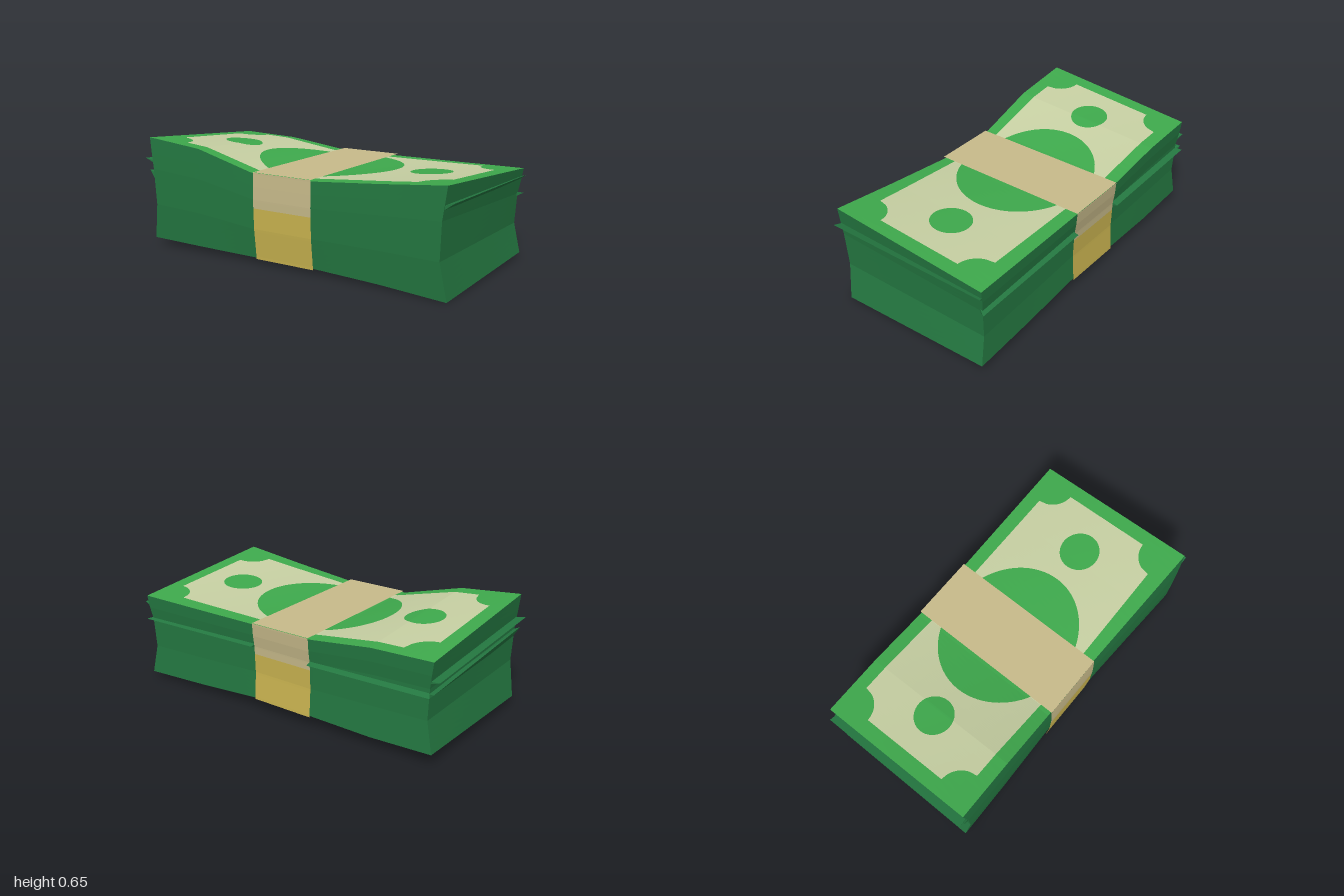
import * as THREE from 'three';
import { ConvexGeometry } from 'three/addons/geometries/ConvexGeometry.js';

const mat = (name, color) => Object.assign(new THREE.MeshStandardMaterial({ color }), { name });

// Linear interpolation through a small table
function table(xs, ys, x) {
  if (x <= xs[0]) return ys[0];
  for (let i = 1; i < xs.length; i++) {
    if (x <= xs[i]) return ys[i - 1] + (ys[i] - ys[i - 1]) * (x - xs[i - 1]) / (xs[i] - xs[i - 1]);
  }
  return ys[ys.length - 1];
}
const lerp = THREE.MathUtils.lerp;

// Outline of the warped stack at stations along x
const X = [-0.96, -0.6, -0.22, 0.16, 0.57, 0.96];
const at = (ys) => (x) => table(X, ys, x);
const topFront = at([0.655, 0.62, 0.518, 0.518, 0.555, 0.595]);
const topBack = at([0.57, 0.56, 0.515, 0.515, 0.517, 0.52]);
const lowFront = at([0.05, 0.043, 0.037, 0.035, 0.025, 0.005]);
const lowBack = at([0.07, 0.06, 0.07, 0.075, 0.05, 0.035]);
const frontEdge = at([0.47, 0.465, 0.455, 0.455, 0.47, 0.485]);
const backEdge = at([-0.465, -0.468, -0.47, -0.47, -0.475, -0.48]);

// How far each side is pinched in, from bottom (0) to top (1)
const V = [0, 0.35, 0.7, 0.85, 1];
const endInset = (v) => table(V, [0, 0.035, 0.025, 0.012, 0], v);
const frontInset = (v) => table(V, [0.018, 0, -0.005, -0.003, 0], v);
const backInset = (v) => table(V, [0.01, 0.02, 0.015, 0.005, 0], v);
const frontZ = (x, v) => frontEdge(x) - frontInset(v);
const backZ = (x, v) => backEdge(x) + backInset(v);

// Height of the stack at x, z and level v
function height(x, z, v) {
  const t = (frontEdge(x) - z) / (frontEdge(x) - backEdge(x));
  return lerp(lerp(lowFront(x), lowBack(x), t), lerp(topFront(x), topBack(x), t), v);
}

// Faceted surface from a rule f(u, v) -> [x, y, z]
function surface(f, nu, nv, flip) {
  const pos = [], index = [];
  for (let j = 0; j <= nv; j++) {
    for (let i = 0; i <= nu; i++) pos.push(...f(i / nu, j / nv));
  }
  for (let j = 0; j < nv; j++) {
    for (let i = 0; i < nu; i++) {
      const a = j * (nu + 1) + i, b = a + 1, c = a + nu + 1, d = c + 1;
      index.push(...(flip ? [a, d, b, a, c, d] : [a, b, d, a, d, c]));
    }
  }
  const g = new THREE.BufferGeometry();
  g.setAttribute('position', new THREE.Float32BufferAttribute(pos, 3));
  g.setIndex(index);
  const flat = g.toNonIndexed();
  flat.computeVertexNormals();
  return flat;
}

export function createModel() {
  const model = new THREE.Group();
  model.name = 'banknoteStack';
  const green = mat('note green', 0x3ea94c);
  const cream = mat('note cream', 0xc6cfa2);
  const edgeGreen = mat('paper edge green', 0x247841);
  const tan = mat('band tan', 0xc7ba8a);
  const gold = mat('band gold', 0xcab450);
  const white = mat('band underside', 0xcccccc);

  const add = (name, geometry, material) => {
    const m = new THREE.Mesh(geometry, material);
    m.name = name;
    model.add(m);
  };

  // Patch lying on the top (v = 1) or bottom (v = 0) of the stack
  const face = (name, material, v, lift, xAt, zNear, zFar, nu = 48) => {
    const s = v ? 1 : -1;
    add(name, surface((u, w) => {
      const x = xAt(u), z = lerp(zNear(x, u), zFar(x, u), w);
      return [x, height(x, z, v) + s * lift, z];
    }, nu, 8, !v), material);
  };

  // Patch on the front or back wall
  const wall = (name, material, front, lift, xAt, v0, v1) => {
    add(name, surface((u, w) => {
      const v = lerp(v0, v1, w), x = xAt(u, v);
      const z = front ? frontZ(x, v) : backZ(x, v);
      return [x, height(x, z, v), z + (front ? lift : -lift)];
    }, 48, 20, !front), material);
  };

  // Pinched paper sides
  const bodyX = (u, v) => (2 * u - 1) * (0.962 - endInset(v));
  wall('frontPaperEdges', edgeGreen, true, 0, bodyX, 0, 1);
  wall('backPaperEdges', edgeGreen, false, 0, bodyX, 0, 1);
  for (const side of [1, -1]) {
    add(side > 0 ? 'leftPaperEdges' : 'rightPaperEdges', surface((u, v) => {
      const x = bodyX(side > 0 ? 1 : 0, v);
      const z = lerp(frontZ(x, v), backZ(x, v), u);
      return [x, height(x, z, v), z];
    }, 8, 20, side < 0), edgeGreen);
  }

  // Printed faces, above and below
  const notch = (x) => {
    const d = 0.88 - Math.abs(x);
    return d < 0.13 ? 0.39 - Math.sqrt(Math.max(0, 0.0169 - d * d)) : 0.39;
  };
  const bandX = (u) => lerp(-0.218, 0.16, u);
  for (const [v, label] of [[1, 'top'], [0, 'bottom']]) {
    const near = (x) => frontZ(x, v), far = (x) => backZ(x, v);
    face(label + 'Note', green, v, 0, (u) => bodyX(u, v), near, far);
    face(label + 'CreamPanel', cream, v, 0.003, (u) => lerp(-0.88, 0.88, u),
      (x) => notch(x) - 0.004, (x) => -notch(x) - 0.004, 176);
    const oval = (name, cx, rx, rz) => face(label + name, green, v, 0.006,
      (u) => cx - rx * Math.cos(Math.PI * u),
      (x, u) => rz * Math.sin(Math.PI * u) - 0.005,
      (x, u) => -rz * Math.sin(Math.PI * u) - 0.005, 40);
    oval('CentreOval', -0.012, 0.43, 0.365);
    oval('RightDisc', -0.64, 0.112, 0.107);
    oval('LeftDisc', 0.63, 0.116, 0.112);
    face(label + 'Band', v ? tan : white, v, v ? 0.009 : 0.008, bandX,
      (x) => near(x) + 0.006, (x) => far(x) - 0.006, 12);
  }

  // Paper band on the walls, gold below and tan above
  for (const front of [true, false]) {
    const label = front ? 'front' : 'back';
    wall(label + 'BandLower', gold, front, 0.006, bandX, -0.012, 0.6);
    wall(label + 'BandUpper', tan, front, 0.006, bandX, 0.6, 1.015);
  }

  // Loose notes sticking out: tip, upper root and lower root at each end
  const fin = (name, ...points) => add(name,
    new ConvexGeometry(points.map((p) => new THREE.Vector3(...p))), edgeGreen);
  fin('leftLooseNote',
    [1, 0.512, 0.485], [0.92, 0.488, 0.482], [0.92, 0.455, 0.482],
    [0.975, 0.482, -0.482], [0.92, 0.465, -0.465], [0.92, 0.435, -0.465]);
  fin('rightUpperLooseNote',
    [-1, 0.53, 0.47], [-0.92, 0.515, 0.465], [-0.92, 0.497, 0.465],
    [-0.995, 0.468, -0.46], [-0.92, 0.458, -0.45], [-0.92, 0.44, -0.45]);
  fin('rightLowerLooseNote',
    [-0.968, 0.462, 0.47], [-0.92, 0.44, 0.465], [-0.92, 0.38, 0.465],
    [-0.968, 0.4, -0.465], [-0.92, 0.39, -0.45], [-0.92, 0.355, -0.45]);
  fin('backLooseNoteRight',
    [-0.955, 0.385, -0.485], [-0.93, 0.4, -0.44], [-0.93, 0.365, -0.44],
    [-0.218, 0.375, -0.49], [-0.218, 0.39, -0.44], [-0.218, 0.36, -0.44]);
  fin('backLooseNoteLeft',
    [0.965, 0.378, -0.49], [0.93, 0.39, -0.44], [0.93, 0.36, -0.44],
    [0.16, 0.39, -0.488], [0.16, 0.402, -0.44], [0.16, 0.37, -0.44]);

  return model;
}
